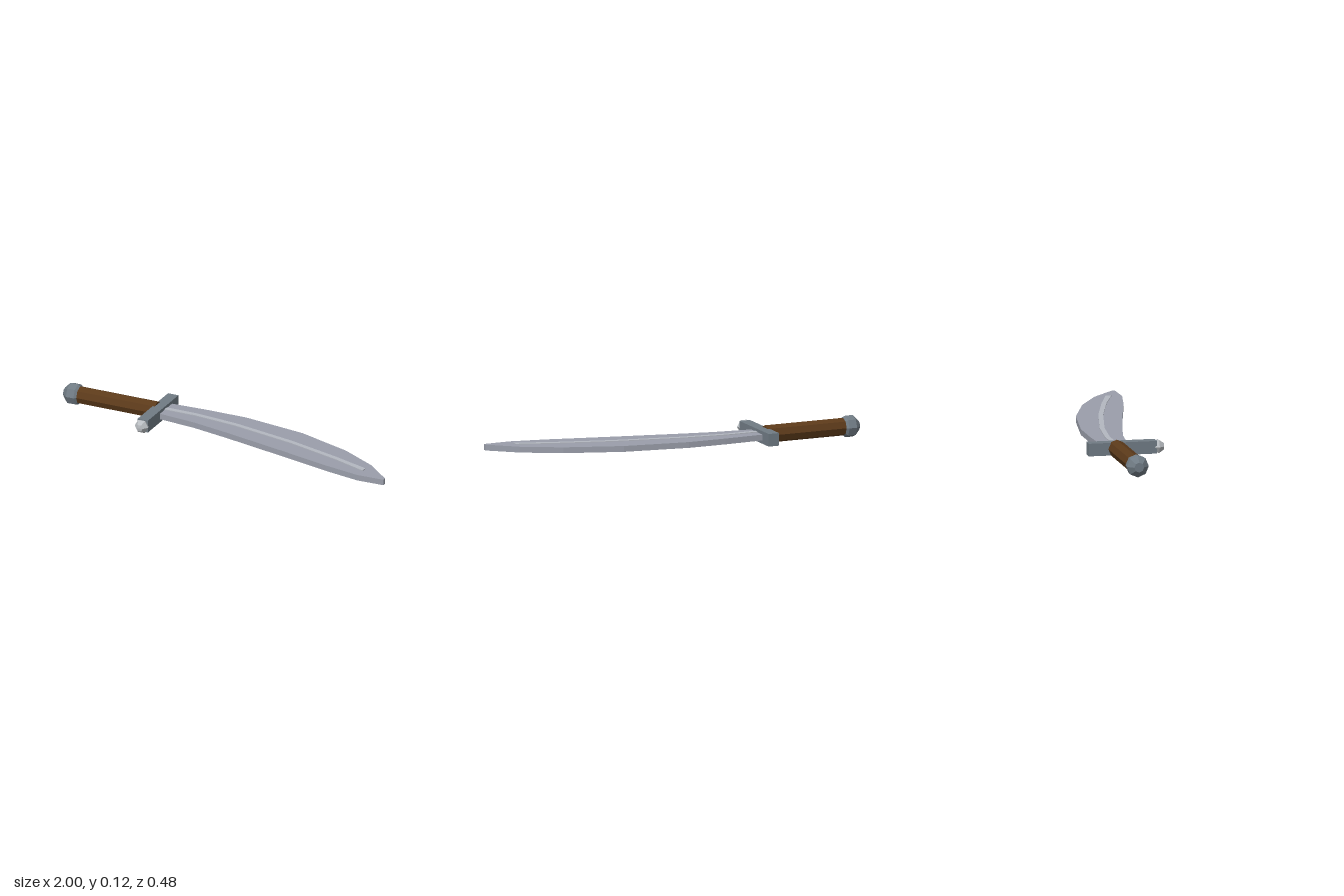
import * as THREE from 'three';

const mat = (name, color) => {
  const m = new THREE.MeshStandardMaterial({ color });
  m.name = name;
  m.flatShading = true;
  return m;
};

export function createModel() {
  const group = new THREE.Group();
  const midY = 0.059, gripZ = -0.09;
  const steel = mat('blade steel', 0x9a9eaa);
  const bright = mat('bright ridge', 0xb3b7c0);
  const iron = mat('dark iron', 0x707b84);
  const wood = mat('grip wood', 0x5c3a1a);
  const silver = mat('pale finial', 0xb8bcc0);

  const add = (name, geo, material, x = 0, y = 0, z = 0) => {
    const mesh = new THREE.Mesh(geo, material);
    mesh.name = name;
    mesh.position.set(x, y, z);
    group.add(mesh);
  };

  // Flat slab from an outline of [x, z] points, between two heights
  const slab = (back, front, y0, y1) => {
    const outline = [...back, ...[...front].reverse()];
    const shape = new THREE.Shape(outline.map(([x, z]) => new THREE.Vector2(x, -z)));
    return new THREE.ExtrudeGeometry(shape, { depth: y1 - y0, bevelEnabled: false })
      .rotateX(-Math.PI / 2).translate(0, y0, 0);
  };

  // Faceted solid turned about y, from [radius, height] points rising from the bottom
  const turned = (points, sides) =>
    new THREE.LatheGeometry(points.map(([r, h]) => new THREE.Vector2(r, h)), sides);

  // Curved blade
  add('blade', slab(
    [[-0.42, -0.165], [-0.2, -0.174], [0.01, -0.174], [0.36, -0.122], [0.66, -0.02], [0.86, 0.09], [1, 0.212]],
    [[-0.42, -0.021], [-0.21, 0.002], [0, 0.045], [0.36, 0.128], [0.65, 0.198], [0.85, 0.236], [1, 0.232]],
    0.044, 0.075), steel);

  // Raised ridge showing on both faces of the blade
  add('bladeRidge', slab(
    [[-0.42, -0.102], [-0.24, -0.102], [0, -0.076], [0.36, -0.002], [0.66, 0.083], [0.855, 0.148]],
    [[-0.42, -0.076], [-0.24, -0.076], [0, -0.05], [0.36, 0.024], [0.66, 0.11], [0.855, 0.18]],
    0.0395, 0.079), bright);

  // Cross guard and its finial
  add('guard', new THREE.BoxGeometry(0.06, 0.067, 0.364), iron, -0.447, midY, -0.059);
  add('guardFinial',
    turned([[0, 0.11], [0.03, 0.113], [0.039, 0.136], [0.02, 0.163], [0, 0.166]], 6)
      .rotateY(Math.PI / 2).rotateX(Math.PI / 2),
    silver, -0.448, midY, 0);

  // Octagonal grip
  add('grip', new THREE.CylinderGeometry(0.047, 0.047, 0.45, 8).rotateZ(Math.PI / 2),
    wood, -0.69, midY, gripZ);

  // Faceted pommel
  add('pommel',
    turned([[0, 0.9], [0.036, 0.9], [0.057, 0.925], [0.058, 0.968], [0.026, 1], [0, 1]], 8)
      .rotateZ(Math.PI / 2),
    iron, 0, midY, gripZ);

  return group;
}
